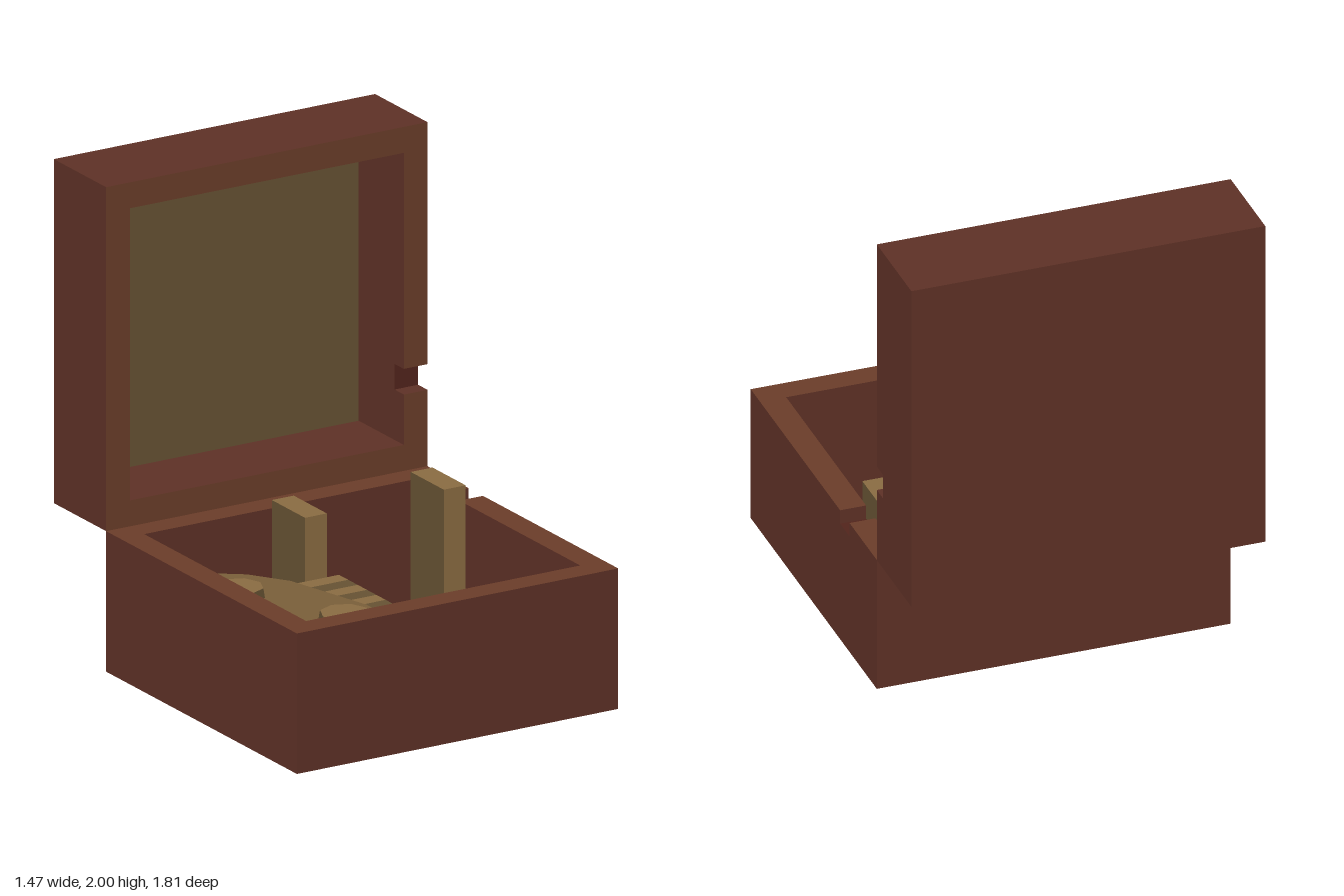
import * as THREE from 'three';

const paint = (color) => new THREE.MeshStandardMaterial({ color, flatShading: true });
const wood = paint(0x5e3126);
const rimWood = paint(0x6b3d29);
const innerWood = paint(0x52241c);
const brass = paint(0x8a6c42);
const plateBrass = paint(0x7a5f3a);
const darkBrass = paint(0x665233);

const W = 0.735, H = 0.71;            // half width and half length of both halves
const IW = 0.627, IH = 0.603;         // half size of the hollow
const FLOOR = 0.053;

function addMesh(parent, name, geometry, material, x = 0, y = 0, z = 0) {
  const mesh = new THREE.Mesh(geometry, material);
  mesh.name = name;
  mesh.position.set(x, y, z);
  parent.add(mesh);
  return mesh;
}

const polygon = (points) => new THREE.Shape(points.map(([x, y]) => new THREE.Vector2(x, y)));
const extrude = (shape, depth) => new THREE.ExtrudeGeometry(shape, { depth, bevelEnabled: false });

// Hollow box half opening toward +z, with a notch cut through its +x wall
function tray(name, depth, notchY, notchDepth, floorMaterial) {
  const group = new THREE.Group();
  group.name = name;

  addMesh(group, name + 'Floor', new THREE.BoxGeometry(2 * W, 2 * H, FLOOR),
    [wood, wood, wood, wood, floorMaterial, wood], 0, 0, FLOOR / 2);

  const frame = polygon([[-W, -H], [W, -H], [W, H], [-W, H]]);
  frame.holes.push(polygon([[-IW, -IH], [-IW, IH], [IW, IH], [IW, -IH]]));
  addMesh(group, name + 'Walls', extrude(frame, depth - FLOOR - notchDepth),
    [innerWood, wood], 0, 0, FLOOR);

  // Top layer of the walls is an open ring, leaving the notch
  const a = notchY - 0.053, b = notchY + 0.053;
  const ring = polygon([[W, b], [W, H], [-W, H], [-W, -H], [W, -H], [W, a],
    [IW, a], [IW, -IH], [-IW, -IH], [-IW, IH], [IW, IH], [IW, b]]);
  addMesh(group, name + 'Rim', extrude(ring, notchDepth), [rimWood, wood], 0, 0, depth - notchDepth);
  return group;
}

export function createModel() {
  const model = new THREE.Group();
  model.name = 'musicBox';

  // Box body and upright lid
  const body = tray('body', 0.58, 0.35, 0.06, innerWood);
  body.rotation.x = -Math.PI / 2;
  body.position.z = 0.195;
  const lid = tray('lid', 0.39, -0.342, 0.07, darkBrass);
  lid.position.set(0, 1.29, -0.905);
  model.add(body, lid);

  // Two uprights that carry the crank shaft
  for (const [name, x] of [['middleBracket', -0.062], ['sideBracket', 0.573]]) {
    addMesh(model, name, new THREE.BoxGeometry(0.1, 0.66 - FLOOR, 0.247),
      [darkBrass, darkBrass, brass, brass, brass, brass], x, (0.66 + FLOOR) / 2, -0.172);
  }

  // Curved mounting plate, outlined as x and z
  const outline = [[-IW, 0.797], [-0.185, 0.797], [-0.13, 0.6], [-0.13, 0.44],
    [-0.235, 0.045], [-0.34, -0.11], [-0.46, -0.2], [-IW, -0.2]];
  const plate = addMesh(model, 'mountingPlate',
    extrude(polygon(outline.map(([x, z]) => [x, -z])), 0.1), [plateBrass, darkBrass], 0, 0.35, 0);
  plate.rotation.x = -Math.PI / 2;

  // Bolt heads
  for (const [x, z] of [[-0.5, 0.087], [-0.305, 0.563]]) {
    addMesh(model, 'bolt', new THREE.CylinderGeometry(0.1, 0.107, 0.04, 8),
      [darkBrass, brass, darkBrass], x, 0.468, z);
  }

  // Comb of alternating teeth and gaps
  const comb = new THREE.Group();
  comb.name = 'comb';
  const teeth = 11, pitch = 0.765 / teeth;
  for (let i = 0; i < teeth; i++) {
    addMesh(comb, 'combTooth', new THREE.BoxGeometry(0.335, 0.04, pitch),
      i % 2 ? darkBrass : brass, -0.1325, 0.382, -0.035 + pitch * (i + 0.5));
  }
  model.add(comb);

  return model;
}
